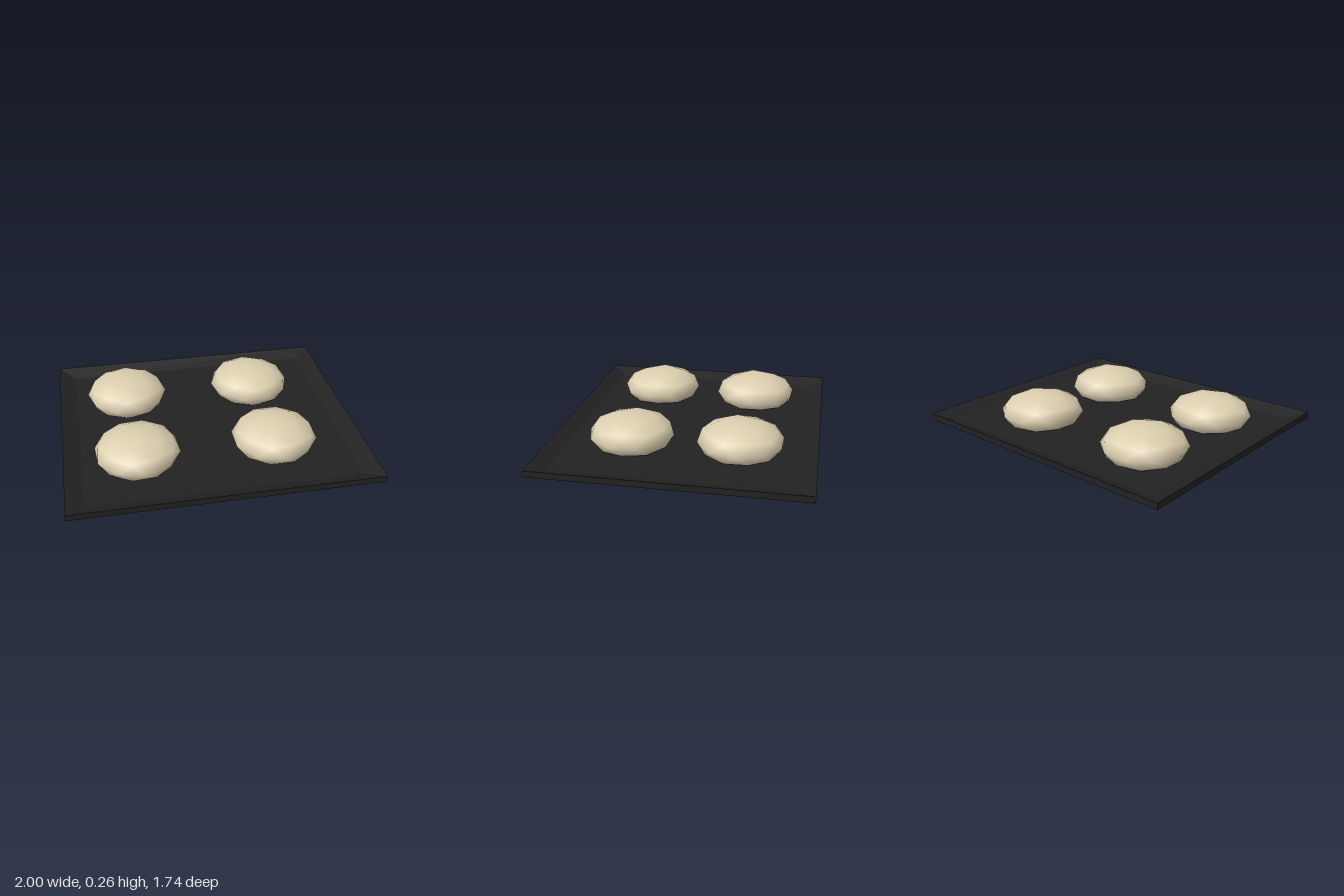
import * as THREE from 'three';
import { mergeVertices } from 'three/addons/utils/BufferGeometryUtils.js';

const trayMat = new THREE.MeshStandardMaterial({ color: 0x222222 });
trayMat.name = 'black tray';
const doughMat = new THREE.MeshStandardMaterial({ color: 0xdccfb0 });
doughMat.name = 'cream dough';

// Shallow tray: rectangular rings joined from the underside, round the rim, to the inner floor
function trayGeometry() {
  const rings = [ // half width, half depth, height
    [0, 0, 0], [0.88, 0.755, 0], [1, 0.87, 0.048], [1, 0.87, 0.09], [0.885, 0.765, 0.048], [0, 0, 0.048],
  ];
  const corners = [[1, 1], [1, -1], [-1, -1], [-1, 1]];
  const point = (r, c) => [rings[r][0] * corners[c % 4][0], rings[r][2], rings[r][1] * corners[c % 4][1]];
  const pos = [];
  for (let r = 0; r < rings.length - 1; r++) {
    for (let c = 0; c < 4; c++) {
      const a = point(r, c), b = point(r, c + 1), d = point(r + 1, c + 1), e = point(r + 1, c);
      if (r > 0) pos.push(...a, ...b, ...d);
      if (r < rings.length - 2) pos.push(...(r > 0 ? a : b), ...d, ...e);
      }
  }
  const g = new THREE.BufferGeometry();
  g.setAttribute('position', new THREE.Float32BufferAttribute(pos, 3));
  g.computeVertexNormals();
  return g;
}

// Low, smooth-shaded bun: a squashed icosphere standing on one vertex, flat where it meets the tray
function bunGeometry(rx, rz, angle) {
  const g = new THREE.IcosahedronGeometry(1, 1);
  g.deleteAttribute('uv');
  g.deleteAttribute('normal');
  g.rotateZ(Math.atan(2 / (1 + Math.sqrt(5))));
  g.rotateY(THREE.MathUtils.degToRad(angle));
  g.scale(rx, 0.132, rz);
  const bun = mergeVertices(g, 1e-4);
  const p = bun.attributes.position;
  for (let i = 0; i < p.count; i++) p.setY(i, Math.max(p.getY(i), -0.077));
  bun.computeVertexNormals();
  return bun;
}

export function createModel() {
  const model = new THREE.Group();
  model.name = 'trayOfBuns';

  const tray = new THREE.Mesh(trayGeometry(), trayMat);
  tray.name = 'tray';
  model.add(tray);

  // Buns: name, x, z, half width, half depth, turn
  const buns = [
    ['backRightBun', -0.517, -0.373, 0.283, 0.286, 87],
    ['backLeftBun', 0.396, -0.373, 0.285, 0.286, 89],
    ['frontRightBun', -0.517, 0.349, 0.284, 0.284, 4],
    ['frontLeftBun', 0.398, 0.349, 0.286, 0.284, 0],
  ];
  for (const [name, x, z, rx, rz, angle] of buns) {
    const bun = new THREE.Mesh(bunGeometry(rx, rz, angle), doughMat);
    bun.name = name;
    bun.position.set(x, 0.126, z);
    model.add(bun);
  }
  return model;
}
